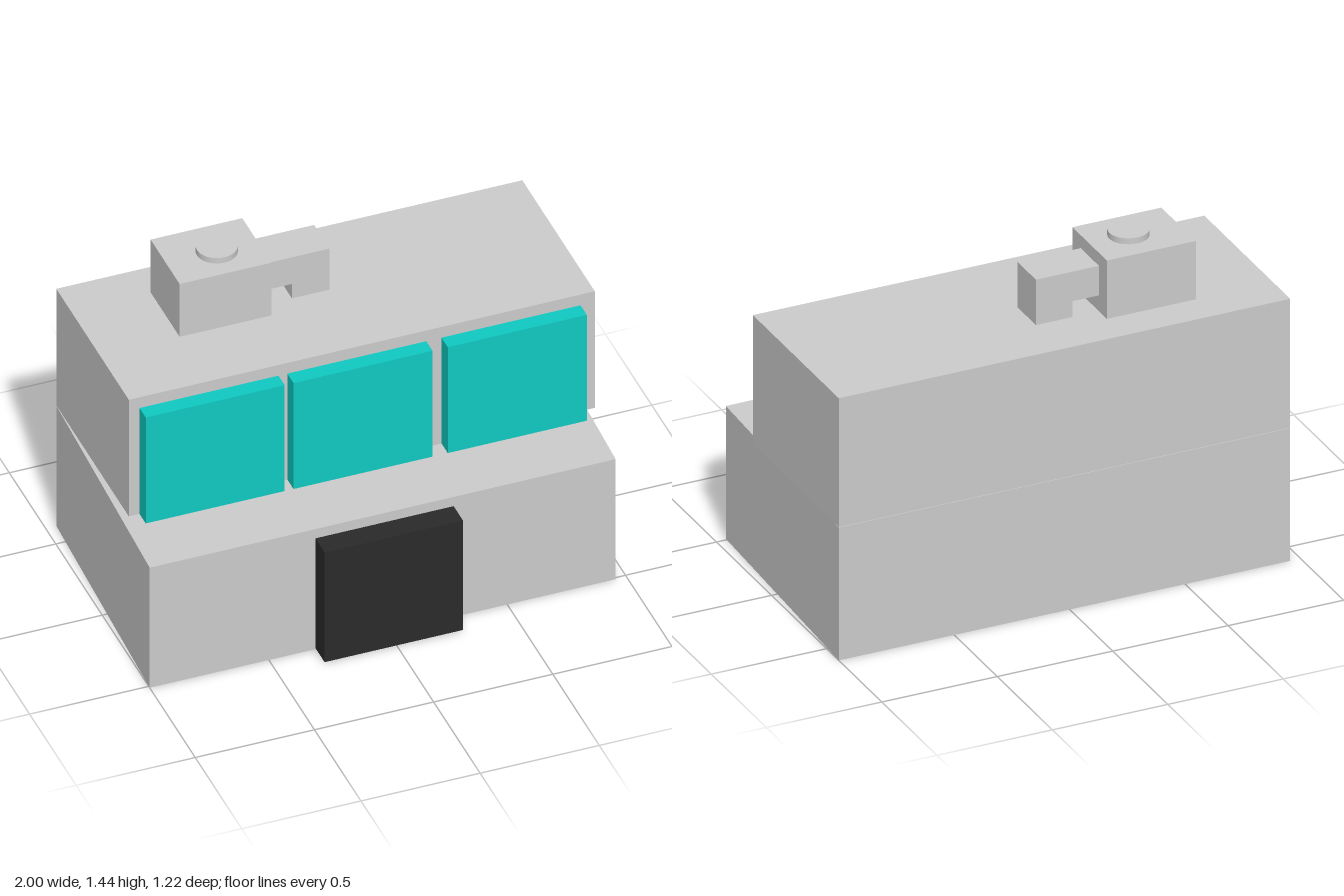
import * as THREE from 'three';

const grey = new THREE.MeshStandardMaterial({ color: 0xcccccc });
const cyan = new THREE.MeshStandardMaterial({ color: 0x10cac2 });
const dark = new THREE.MeshStandardMaterial({ color: 0x2a2a2a });

export function createModel() {
  const model = new THREE.Group();
  model.name = 'building';

  const add = (name, geometry, material) => {
    const mesh = new THREE.Mesh(geometry, material);
    mesh.name = name;
    model.add(mesh);
    return mesh;
  };

  // Box given by its extents along each axis
  const block = (name, [x0, x1], [y0, y1], [z0, z1], material = grey) =>
    add(name, new THREE.BoxGeometry(x1 - x0, y1 - y0, z1 - z0), material)
      .position.set((x0 + x1) / 2, (y0 + y1) / 2, (z0 + z1) / 2);

  // Lower storey: slightly skewed in plan (shape y is -z)
  const plan = new THREE.Shape([
    new THREE.Vector2(-1, -0.51),
    new THREE.Vector2(0.955, -0.51),
    new THREE.Vector2(1, 0.61),
    new THREE.Vector2(-0.955, 0.61),
  ]);
  const base = new THREE.ExtrudeGeometry(plan, { depth: 0.585, bevelEnabled: false });
  base.rotateX(-Math.PI / 2);
  add('lowerStorey', base, grey);

  // Upper storey, set back from the front
  block('upperStorey', [-0.955, 1], [0.587, 1.155], [-0.61, 0.17]);

  // Row of window panels
  for (const x of [-0.91, -0.29, 0.357])
    block('windowPanel', [x, x + 0.583], [0.587, 1.103], [0.17, 0.237], cyan);

  // Door panel
  block('door', [-0.305, 0.275], [0.006, 0.54], [0.51, 0.61], dark);

  // Rooftop unit with round cap
  block('roofUnit', [-0.62, -0.235], [1.155, 1.412], [-0.455, -0.142]);
  add('roofUnitCap', new THREE.CylinderGeometry(0.083, 0.083, 0.026, 32), grey)
    .position.set(-0.406, 1.425, -0.292);

  // Elbow duct from the unit down to the roof
  const elbow = new THREE.Shape([
    [-0.235, 1.225], [-0.12, 1.225], [-0.12, 1.155],
    [0.038, 1.155], [0.038, 1.355], [-0.235, 1.355],
  ].map(([x, y]) => new THREE.Vector2(x, y)));
  add('roofDuct', new THREE.ExtrudeGeometry(elbow, { depth: 0.166, bevelEnabled: false }), grey)
    .position.z = -0.383;

  return model;
}
